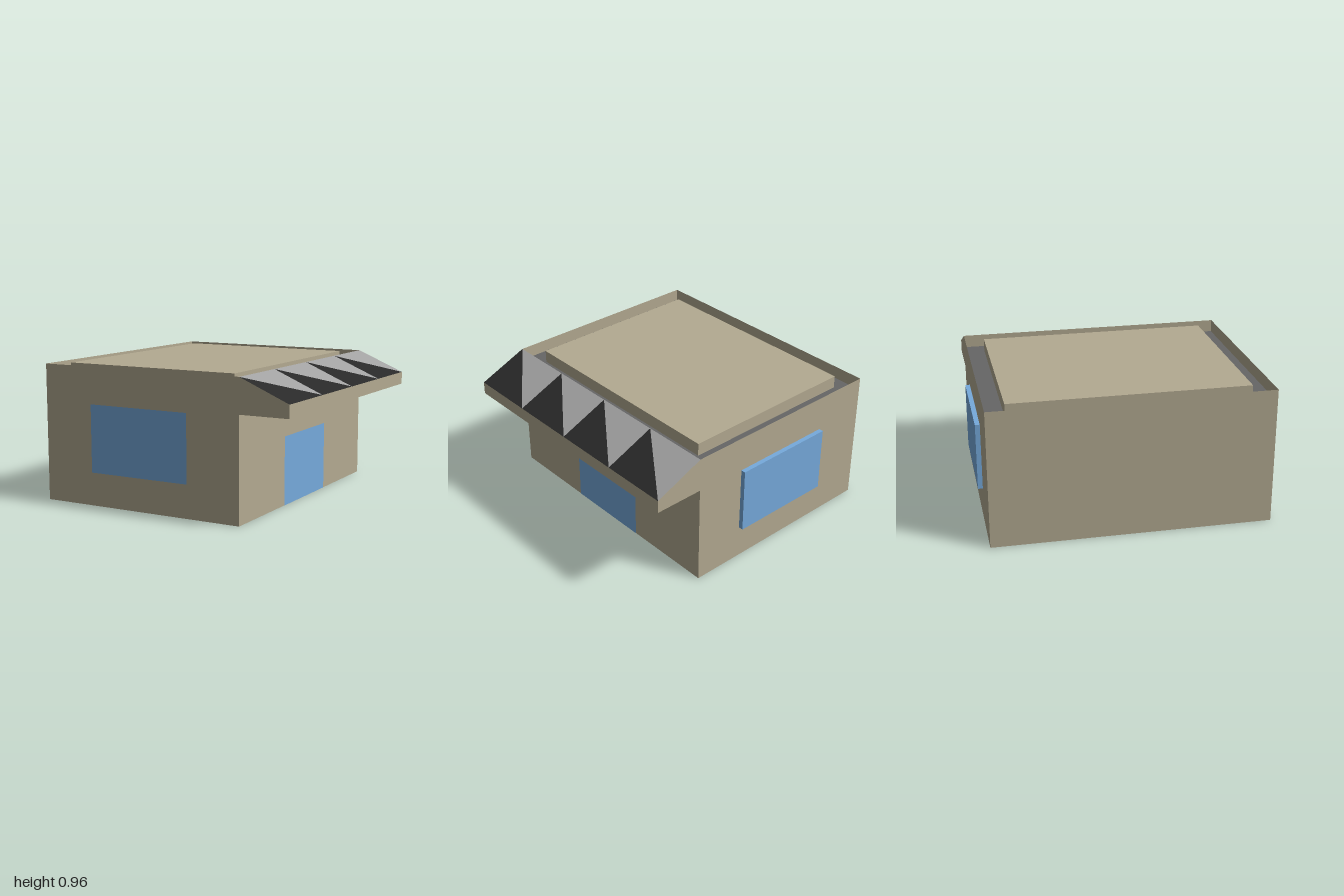
import * as THREE from 'three';

const W = 0.945;          // left wall and awning edge
const WALL = 0.587;       // wall under the awning
const D = 0.967;          // half depth
const TOP = 0.965, LIP = 0.815, SOFFIT = 0.725, GUTTER = 0.875;

const paint = (color) => new THREE.MeshStandardMaterial({ color, side: THREE.DoubleSide, flatShading: true });

// Flat polygon from corners given counter-clockwise as seen from outside
function panel(name, material, ...corners) {
  const points = [];
  for (let i = 1; i < corners.length - 1; i++) points.push(...corners[0], ...corners[i], ...corners[i + 1]);
  const geometry = new THREE.BufferGeometry();
  geometry.setAttribute('position', new THREE.Float32BufferAttribute(points, 3));
  geometry.computeVertexNormals();
  const mesh = new THREE.Mesh(geometry, material);
  mesh.name = name;
  return mesh;
}

function block(name, material, [x0, y0, z0], [x1, y1, z1]) {
  const mesh = new THREE.Mesh(new THREE.BoxGeometry(x1 - x0, y1 - y0, z1 - z0), material);
  mesh.position.set((x0 + x1) / 2, (y0 + y1) / 2, (z0 + z1) / 2);
  mesh.name = name;
  return mesh;
}

export function createModel() {
  const model = new THREE.Group();
  model.name = 'shop';
  const beige = paint(0xb3aa91), blue = paint(0x76aadc);
  const grey = paint(0x666666), light = paint(0xa2a2a2), dark = paint(0x292929);

  // Front and back walls share one outline, including the awning ends
  const outline = new THREE.Shape([
    [-W, 0], [WALL, 0], [WALL, SOFFIT], [0.94, SOFFIT], [0.94, LIP], [WALL, TOP], [-W, TOP],
  ].map(([x, y]) => new THREE.Vector2(x, y)));
  for (const side of [1, -1]) {
    const geometry = new THREE.ShapeGeometry(outline);
    if (side < 0) geometry.scale(-1, 1, 1).rotateY(Math.PI);
    if (side < 0) {
      // restore outward winding after mirroring
      geometry.index.array.reverse();
      geometry.computeVertexNormals();
    }
    const wall = new THREE.Mesh(geometry, beige);
    wall.position.z = side * D;
    wall.name = side > 0 ? 'frontWall' : 'backWall';
    model.add(wall);
  }

  // Side walls, rising past the gutter as a thin parapet, and the base
  model.add(
    panel('rightWall', beige, [-W, 0, -D], [-W, 0, D], [-W, TOP, D], [-W, TOP, -D]),
    panel('doorWall', beige, [WALL, 0, D], [WALL, 0, -D], [WALL, TOP, -D], [WALL, TOP, D]),
    panel('base', beige, [-W, 0, -D], [WALL, 0, -D], [WALL, 0, D], [-W, 0, D]),
  );

  // Recessed gutter and raised roof slab
  model.add(
    panel('gutter', grey, [-W, GUTTER, D], [WALL, GUTTER, D], [WALL, GUTTER, -D], [-W, GUTTER, -D]),
    block('roofSlab', beige, [-0.835, GUTTER - 0.02, -0.828], [0.477, TOP, 0.828]),
  );

  // Awning: soffit, lip and alternating triangles on the slope
  const awning = new THREE.Group();
  awning.name = 'awning';
  awning.add(
    panel('awningSoffit', beige, [WALL, SOFFIT, -D], [0.94, SOFFIT, -D], [0.94, SOFFIT, D], [WALL, SOFFIT, D]),
    panel('awningLip', beige, [0.94, SOFFIT, D], [0.94, SOFFIT, -D], [0.94, LIP, -D], [0.94, LIP, D]),
  );
  for (let i = 0; i < 4; i++) {
    const z0 = -D + i * D / 2, z1 = z0 + D / 2;
    awning.add(
      panel('lightStripe', light, [WALL, TOP, z0], [WALL, TOP, z1], [0.94, LIP, z0]),
      panel('darkStripe', dark, [0.94, LIP, z0], [WALL, TOP, z1], [0.94, LIP, z1]),
    );
  }
  model.add(awning);

  // Door and windows
  const d = WALL + 0.002;
  model.add(
    panel('door', blue, [d, 0, 0.325], [d, 0, -0.317], [d, 0.485, -0.317], [d, 0.485, 0.325]),
    panel('frontWindow', blue, [-0.545, 0.24, 1], [0.215, 0.24, 1], [0.215, 0.712, 1], [-0.545, 0.712, 1]),
    block('backWindow', blue, [-0.545, 0.24, -1], [0.215, 0.712, -D]),
  );
  return model;
}
